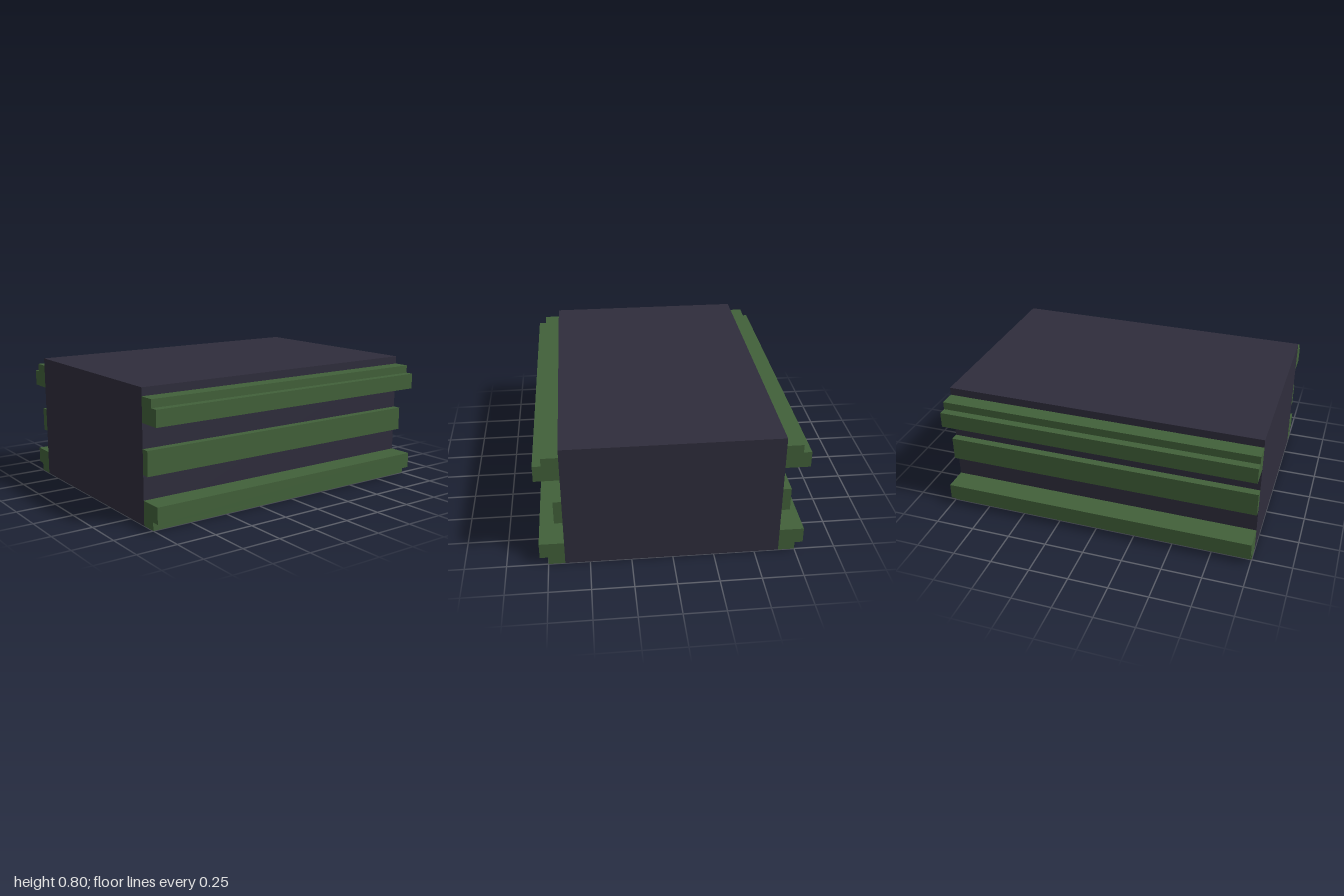
import * as THREE from 'three';

const LENGTH = 2;

// Rail cross-sections as [z, y] points, counter-clockwise
const RAILS = {
  lowerRail: [[0.65, 0], [0.75, 0], [0.75, 0.05], [0.8, 0.05], [0.8, 0.15], [0.65, 0.15]],
  middleRail: [[0.65, 0.3], [0.7, 0.3], [0.7, 0.45], [0.65, 0.45]],
  upperRail: [[0.65, 0.6], [0.8, 0.6], [0.8, 0.7], [0.75, 0.7], [0.75, 0.75], [0.65, 0.75]],
};

// Sweeps a cross-section along the full length in x
function railGeometry(points) {
  const shape = new THREE.Shape(points.map(([z, y]) => new THREE.Vector2(z, y)));
  const geometry = new THREE.ExtrudeGeometry(shape, { depth: LENGTH, bevelEnabled: false });
  return geometry.rotateY(-Math.PI / 2).translate(LENGTH / 2, 0, 0);
}

export function createModel() {
  const model = new THREE.Group();
  model.name = 'railedBlock';

  const dark = new THREE.MeshStandardMaterial({ color: 0x2f2d3c });
  dark.name = 'dark slate';
  const green = new THREE.MeshStandardMaterial({ color: 0x42613a });
  green.name = 'moss green';

  // Solid core
  const core = new THREE.Mesh(new THREE.BoxGeometry(LENGTH, 0.8, 1.3), dark);
  core.name = 'core';
  core.position.y = 0.4;
  model.add(core);

  // Same three rails on the front and, turned round, on the back
  for (const side of ['front', 'back']) {
    const rails = new THREE.Group();
    rails.name = side + 'Rails';
    for (const [name, points] of Object.entries(RAILS)) {
      const rail = new THREE.Mesh(railGeometry(points), green);
      rail.name = name;
      rails.add(rail);
    }
    if (side === 'back') rails.rotation.y = Math.PI;
    model.add(rails);
  }

  return model;
}
